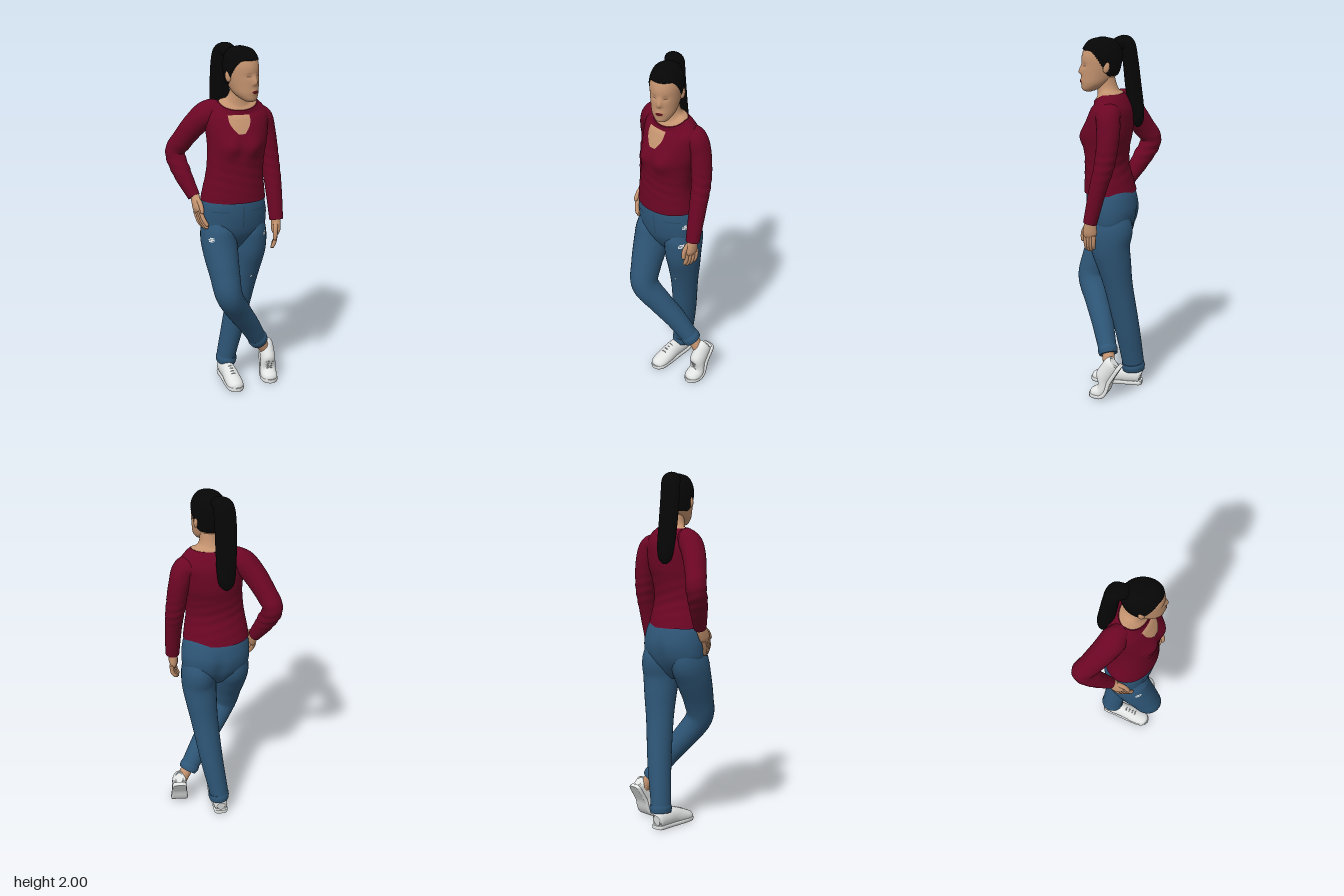
import * as THREE from 'three';

const paint = (name, color) => {
  const m = new THREE.MeshStandardMaterial({ color });
  m.name = name;
  return m;
};
const { smoothstep } = THREE.MathUtils;
const gauss = (d, w) => Math.exp(-(d * d) / (w * w));

export function createModel() {
  const model = new THREE.Group();
  model.name = 'standingWoman';
  const skin = paint('skin', 0xc4936f), hairBlack = paint('hairBlack', 0x060606);
  const wine = paint('wineKnit', 0x6c0625), denim = paint('denim', 0x2e5677);
  const denimDark = paint('denimSeam', 0x25465f), white = paint('shoeWhite', 0xe2e4e4);
  const lace = paint('laceGrey', 0xb9bcbd), lip = paint('lipRed', 0x5e161c), brow = paint('browBrown', 0x7a5644);

  const add = (parent, name, geo, mat) => {
    const mesh = new THREE.Mesh(geo, mat);
    mesh.name = name;
    parent.add(mesh);
    return mesh;
  };

  // Closed skin over elliptical rings [x, y, z, radiusA, radiusB], smoothly interpolated.
  // flat keeps the rings level (turned by yaw, listed bottom up); otherwise they stand across the path.
  function loft(parent, name, mat, rows, { flat = false, yaw = 0, seg = 28, steps = 6, warp } = {}) {
    const curve = (f) => new THREE.CatmullRomCurve3(rows.map(f), false, 'catmullrom', 0.5);
    const path = curve((r) => new THREE.Vector3(r[0], r[1], r[2]));
    const size = curve((r) => new THREE.Vector3(r[3], r[4] ?? r[3], 0));
    const n = (rows.length - 1) * steps, pos = [], idx = [];
    for (let i = 0; i <= n; i++) {
      const c = path.getPoint(i / n), r = size.getPoint(i / n);
      let u, v;
      if (flat) {
        u = new THREE.Vector3(Math.cos(yaw), 0, -Math.sin(yaw));
        v = new THREE.Vector3(Math.sin(yaw), 0, Math.cos(yaw));
      } else {
        const t = path.getTangent(i / n);
        u = new THREE.Vector3(1, 0, 0).addScaledVector(t, -t.x).normalize();
        v = u.clone().cross(t);
      }
      for (let j = 0; j < seg; j++) {
        const a = (j / seg) * Math.PI * 2, co = Math.cos(a), si = Math.sin(a);
        const p = c.clone().addScaledVector(u, r.x * co).addScaledVector(v, r.y * si);
        if (warp) warp(p, co, si, c);
        pos.push(p.x, p.y, p.z);
      }
    }
    for (let i = 0; i < n; i++) for (let j = 0; j < seg; j++) {
      const a = i * seg + j, b = i * seg + (j + 1) % seg;
      idx.push(a, a + seg, b, b, a + seg, b + seg);
    }
    // End caps with their own vertices
    for (const [ring, top] of [[0, false], [n, true]]) {
      const start = pos.length / 3, mid = [0, 0, 0];
      for (let j = 0; j < seg; j++) for (let k = 0; k < 3; k++) {
        const value = pos[(ring * seg + j) * 3 + k];
        pos.push(value);
        mid[k] += value / seg;
      }
      pos.push(...mid);
      for (let j = 0; j < seg; j++) {
        const a = start + j, b = start + (j + 1) % seg;
        idx.push(start + seg, top ? b : a, top ? a : b);
      }
    }
    const geo = new THREE.BufferGeometry();
    geo.setAttribute('position', new THREE.Float32BufferAttribute(pos, 3));
    geo.setIndex(idx);
    geo.computeVertexNormals();
    return add(parent, name, geo, mat);
  }

  // Thin patch laid on the front of a mesh; width(t) shapes it from bottom (0) to top (1).
  function decal(parent, name, mat, targets, x, y, w, h, width = () => 1, lift = 0.004) {
    const geo = new THREE.PlaneGeometry(1, 1, 10, 12), p = geo.attributes.position, ray = new THREE.Raycaster();
    for (let i = 0; i < p.count; i++) {
      const t = p.getY(i) + 0.5, px = x + p.getX(i) * w * width(t), py = y + (t - 0.5) * h;
      ray.set(new THREE.Vector3(px, py, 1), new THREE.Vector3(0, 0, -1));
      const hit = ray.intersectObjects(targets, false)[0];
      p.setXYZ(i, px, py, (hit ? hit.point.z : 0) + lift);
    }
    geo.computeVertexNormals();
    return add(parent, name, geo, mat);
  }
  const oval = (t) => Math.sqrt(Math.max(0.01, 1 - (2 * t - 1) ** 2));

  // Sweater body with scooped neckline
  const scoop = (p, si) => { p.y -= 0.044 * Math.max(0, si) * smoothstep(p.y, 1.6, 1.685); };
  const torso = loft(model, 'sweaterBody', wine, [
    [0.02, 1.145, 0.018, 0.183, 0.14], [0.02, 1.2, 0.025, 0.175, 0.132], [0.022, 1.3, 0.036, 0.16, 0.118],
    [0.032, 1.4, 0.033, 0.16, 0.122], [0.04, 1.47, 0.026, 0.167, 0.13], [0.042, 1.55, 0.014, 0.175, 0.123],
    [0.044, 1.61, 0.004, 0.178, 0.108], [0.042, 1.66, 0.008, 0.15, 0.09], [0.046, 1.692, 0.02, 0.11, 0.077],
  ], { flat: true, yaw: -0.13, seg: 56, steps: 8, warp(p, co, si) {
    if (si > 0) p.z += 0.026 * gauss(p.y - 1.455, 0.06) * gauss(Math.abs(co) - 0.42, 0.3) * si;
    p.z += 0.002 * Math.sin(p.y * 110 + co * 5) * gauss(p.y - 1.3, 0.09);
    scoop(p, si);
  } });
  decal(model, 'keyholeSkin', skin, [torso], 0.022, 1.578, 0.118, 0.096,
    (t) => 0.32 + 0.68 * Math.sin(Math.min(1, t * 1.3) * Math.PI / 2));

  // Neck
  loft(model, 'neck', skin, [
    [0.046, 1.672, 0.02, 0.107, 0.075], [0.046, 1.695, 0.02, 0.103, 0.072], [0.047, 1.707, 0.023, 0.068, 0.059],
    [0.049, 1.74, 0.032, 0.053, 0.053], [0.052, 1.8, 0.045, 0.051, 0.052],
  ], { flat: true, yaw: -0.13, seg: 40, warp: (p, co, si) => scoop(p, si * (1 - smoothstep(p.y, 1.694, 1.72))) });

  // Sleeves, with soft folds around the elbows
  const folds = (p, co, si, c) => {
    const k = 1 + 0.035 * Math.sin(p.y * 120 + co * 2) * gauss(p.y - 1.33, 0.09);
    p.sub(c).multiplyScalar(k).add(c);
  };
  loft(model, 'rightSleeve', wine, [
    [-0.03, 1.622, -0.015, 0.05, 0.068], [-0.108, 1.62, -0.036, 0.064, 0.074], [-0.165, 1.56, -0.072, 0.064, 0.07],
    [-0.22, 1.468, -0.125, 0.058, 0.063], [-0.254, 1.385, -0.165, 0.055, 0.058], [-0.232, 1.28, -0.115, 0.05, 0.054],
    [-0.188, 1.155, -0.042, 0.034, 0.038],
  ], { steps: 12, warp: folds });
  loft(model, 'leftSleeve', wine, [
    [0.13, 1.602, -0.002, 0.05, 0.068], [0.192, 1.585, -0.002, 0.062, 0.066], [0.224, 1.5, -0.01, 0.057, 0.062],
    [0.245, 1.35, 0.004, 0.053, 0.056], [0.254, 1.2, 0.042, 0.047, 0.048], [0.257, 1.01, 0.085, 0.039, 0.038],
  ], { steps: 14, warp: folds });

  // Hands: palm, four fingers and thumb along a wrist, knuckle, tip line
  function hand(name, wrist, knuckle, tip, spread, inward) {
    const g = new THREE.Group();
    g.name = name;
    model.add(g);
    const W = new THREE.Vector3(...wrist), K = new THREE.Vector3(...knuckle), T = new THREE.Vector3(...tip);
    const S = new THREE.Vector3(...spread).normalize();
    const row = (v, a, b) => [v.x, v.y, v.z, a, b];
    const mix = (a, b, t, s = 0) => a.clone().lerp(b, t).addScaledVector(S, s);
    loft(g, 'palm', skin, [row(W, 0.024, 0.027), row(mix(W, K, 0.45), 0.025, 0.036),
      row(mix(W, K, 0.85), 0.023, 0.038), row(mix(W, K, 1.08), 0.013, 0.03)], { seg: 20 });
    for (let i = 0; i < 4; i++) {
      const s = (i - 1.5) * 0.019, reach = [0.82, 0.96, 1, 0.92][i];
      const bend = mix(K, T, reach * 0.55, s * 0.95);
      bend.x -= inward * 0.007;
      loft(g, 'finger', skin, [row(mix(K, T, -0.1, s), 0.0115), row(bend, 0.0115),
        row(mix(K, T, reach * 0.93, s * 0.85), 0.0095), row(mix(K, T, reach, s * 0.85), 0.003)], { seg: 10, steps: 4 });
    }
    const thumb = [mix(W, K, 0.35, 0.022), mix(W, K, 0.8, 0.045), mix(W, K, 1.25, 0.046), mix(W, K, 1.35, 0.045)];
    loft(g, 'thumb', skin, thumb.map((v, i) => row(v, [0.014, 0.013, 0.011, 0.003][i])), { seg: 10, steps: 4 });
  }
  hand('leftHand', [0.257, 1.03, 0.083], [0.253, 0.935, 0.088], [0.231, 0.845, 0.09], [-0.45, 0, 0.9], -1);
  hand('rightHand', [-0.184, 1.165, -0.04], [-0.184, 1.085, 0.012], [-0.152, 0.99, 0.064], [0.15, 0.55, 0.8], 1);

  // Jeans: hips and both legs
  const hips = loft(model, 'jeansHips', denim, [
    [0.026, 0.85, 0.01, 0.05, 0.04], [0.026, 0.89, 0.008, 0.115, 0.078], [0.026, 0.96, 0.004, 0.18, 0.122],
    [0.026, 1.04, 0.003, 0.192, 0.141], [0.023, 1.12, 0.011, 0.184, 0.138], [0.021, 1.175, 0.018, 0.166, 0.124],
  ], { flat: true, seg: 56, steps: 8, warp(p, co, si) {
    if (si < 0) p.z += 0.014 * gauss(co, 0.14) * gauss(p.y - 0.98, 0.09);
  } });
  const leftLeg = loft(model, 'leftJeansLeg', denim, [
    [0.114, 1.04, 0.003, 0.08, 0.1], [0.121, 0.95, -0.002, 0.098, 0.122], [0.122, 0.85, 0, 0.098, 0.111],
    [0.113, 0.74, -0.02, 0.089, 0.096], [0.098, 0.6, -0.044, 0.077, 0.08], [0.068, 0.36, -0.085, 0.066, 0.071],
    [0.034, 0.15, -0.114, 0.056, 0.063], [0.03, 0.09, -0.119, 0.056, 0.062],
  ], { steps: 8 });
  const rightLeg = loft(model, 'rightJeansLeg', denim, [
    [-0.062, 1.04, 0.002, 0.08, 0.1], [-0.068, 0.95, 0.018, 0.098, 0.121], [-0.068, 0.86, 0.052, 0.098, 0.109],
    [-0.062, 0.73, 0.107, 0.085, 0.091], [-0.047, 0.61, 0.138, 0.076, 0.081], [0.028, 0.49, 0.093, 0.069, 0.069],
    [0.108, 0.38, 0.045, 0.061, 0.061], [0.19, 0.25, 0, 0.052, 0.05],
  ], { steps: 8 });
  loft(model, 'leftCuff', denim, [[0.036, 0.135, -0.115, 0.057, 0.063], [0.033, 0.115, -0.117, 0.061, 0.067],
    [0.03, 0.09, -0.119, 0.057, 0.064]]);
  loft(model, 'rightCuff', denim, [[0.172, 0.278, 0.01, 0.053, 0.052], [0.185, 0.258, 0.003, 0.058, 0.056],
    [0.198, 0.238, -0.004, 0.053, 0.052]]);

  // Pocket and fly seams, frayed patches
  const jeans = [hips, leftLeg, rightLeg];
  decal(model, 'flySeam', denimDark, jeans, 0.035, 1.06, 0.005, 0.13, undefined, 0.002);
  for (const x of [-0.09, 0.135]) decal(model, 'pocketSeam', denimDark, jeans, x, 1.095, 0.085, 0.005, undefined, 0.002);
  for (const [x, y, s] of [[0.197, 1.065, 0.026], [0.183, 0.945, 0.024], [-0.14, 0.94, 0.024], [0.115, 0.68, 0.012]]) {
    for (let k = -1; k <= 1; k++) {
      decal(model, 'frayedPatch', white, jeans, x + k * s * 0.12, y + k * s * 0.36, s * (1 - 0.25 * Math.abs(k)), s * 0.28);
    }
  }

  // Shoes, toes along +z; lift raises the heel by bending the front half of the foot
  function shoe(name, x, z, yaw, lift) {
    const g = new THREE.Group();
    g.name = name;
    g.position.set(x, 0, z);
    g.rotation.y = yaw;
    model.add(g);
    const bend = (p) => {
      const d = 0.06 - p.z, a = lift * smoothstep(d, -0.07, 0.12);
      const y = p.y, c = Math.cos(a), s = Math.sin(a);
      p.y = y * c + Math.max(d, 0) * s;
      p.z = 0.06 - d * c + y * s;
    };
    const part = (label, rows, floor, ceil) => loft(g, label, white, rows, { seg: 32, warp(p) {
      p.y = THREE.MathUtils.clamp(p.y, floor, ceil);
      bend(p);
    } });
    part('shoeUpper', [[0, 0.05, -0.16, 0.022, 0.03], [0, 0.052, -0.148, 0.038, 0.048], [0, 0.052, -0.09, 0.043, 0.052],
      [0, 0.05, -0.03, 0.044, 0.052], [0, 0.036, 0.03, 0.048, 0.046], [0, 0.026, 0.085, 0.047, 0.036],
      [0, 0.022, 0.115, 0.035, 0.026], [0, 0.02, 0.128, 0.012, 0.01]], 0.005, 0.2);
    part('shoeSole', [[0, 0.012, -0.166, 0.02, 0.03], [0, 0.012, -0.15, 0.04, 0.03], [0, 0.012, -0.07, 0.044, 0.03],
      [0, 0.012, 0.03, 0.05, 0.03], [0, 0.012, 0.09, 0.049, 0.03], [0, 0.012, 0.12, 0.034, 0.03],
      [0, 0.012, 0.134, 0.012, 0.03]], 0, 0.022);
    for (let i = 0; i < 4; i++) {
      const zz = 0.045 - i * 0.02, yy = 0.08 + i * 0.0065;
      const pts = [[-0.024, -0.012], [0, 0.001], [0.024, -0.012]].map(([px, dy]) => {
        const p = new THREE.Vector3(px, yy + dy, zz);
        bend(p);
        return p;
      });
      add(g, 'lace', new THREE.TubeGeometry(new THREE.CatmullRomCurve3(pts), 8, 0.003, 6), lace);
    }
  }
  shoe('leftShoe', 0.018, -0.002, -0.05, 0);
  shoe('rightShoe', 0.255, -0.036, -0.13, 1.02);
  loft(model, 'leftAnkle', skin, [[0.03, 0.14, -0.11, 0.036], [0.024, 0.07, -0.1, 0.036]]);
  loft(model, 'rightAnkle', skin, [[0.18, 0.27, 0.004, 0.034], [0.215, 0.22, -0.008, 0.034], [0.255, 0.15, -0.022, 0.034]]);

  // Head, turned towards its left
  const head = new THREE.Group();
  head.name = 'head';
  head.position.set(0.05, 0, 0.061);
  head.rotation.y = 0.36;
  model.add(head);
  const skull = [[0, 1.7, 0.072, 0.014, 0.014], [0, 1.712, 0.064, 0.037, 0.042], [0, 1.745, 0.036, 0.062, 0.075],
    [0, 1.79, 0.014, 0.074, 0.097], [0, 1.84, 0.004, 0.081, 0.105], [0, 1.89, 0, 0.083, 0.107],
    [0, 1.935, -0.004, 0.075, 0.095], [0, 1.968, -0.006, 0.053, 0.067], [0, 1.982, -0.006, 0.015, 0.019]];
  const face = loft(head, 'face', skin, skull, { flat: true, seg: 96, steps: 8, warp(p, co, si) {
    if (si <= 0) return;
    const bridge = smoothstep(p.y, 1.787, 1.805) * (1 - smoothstep(p.y, 1.805, 1.86));
    p.z += 0.015 * bridge * gauss(p.x, 0.014);
    p.z -= 0.006 * gauss(Math.abs(p.x) - 0.03, 0.016) * gauss(p.y - 1.842, 0.013);
    p.z += 0.005 * gauss(p.x, 0.022) * gauss(p.y - 1.757, 0.012);
  } });
  decal(head, 'lips', lip, [face], 0, 1.757, 0.04, 0.017, oval, 0.002);
  for (const s of [-1, 1]) {
    decal(head, 'eye', brow, [face], s * 0.031, 1.84, 0.024, 0.006, oval, 0.0015);
    const ear = add(head, 'ear', new THREE.SphereGeometry(1, 16, 12), skin);
    ear.scale.set(0.011, 0.03, 0.018);
    ear.position.set(s * 0.083, 1.835, -0.012);
    ear.rotation.set(-0.2, s * -0.35, 0);
  }
  // Pulled-back hair: outside the skull above the hairline, tucked inside below it
  loft(head, 'hairCap', hairBlack, skull, { flat: true, seg: 72, steps: 14, warp(p, co, si, c) {
    const rim = 1.785 + 0.135 * smoothstep(si, -0.5, 0.8);
    const k = 0.9 + 0.165 * smoothstep(p.y, rim - 0.006, rim + 0.006);
    p.x *= k;
    p.z = c.z + (p.z - c.z) * k;
    p.y += p.y > 1.9 ? (p.y - 1.9) * 0.1 : 0;
  } });
  loft(model, 'ponytail', hairBlack, [
    [0.03, 1.925, 0.01, 0.03, 0.03], [0.012, 1.958, -0.03, 0.042, 0.034], [-0.004, 1.95, -0.068, 0.056, 0.042],
    [-0.012, 1.87, -0.085, 0.058, 0.042], [-0.012, 1.72, -0.103, 0.056, 0.044], [-0.01, 1.6, -0.12, 0.051, 0.042],
    [-0.01, 1.53, -0.128, 0.039, 0.031], [-0.01, 1.5, -0.13, 0.01, 0.01],
  ]);
  return model;
}
